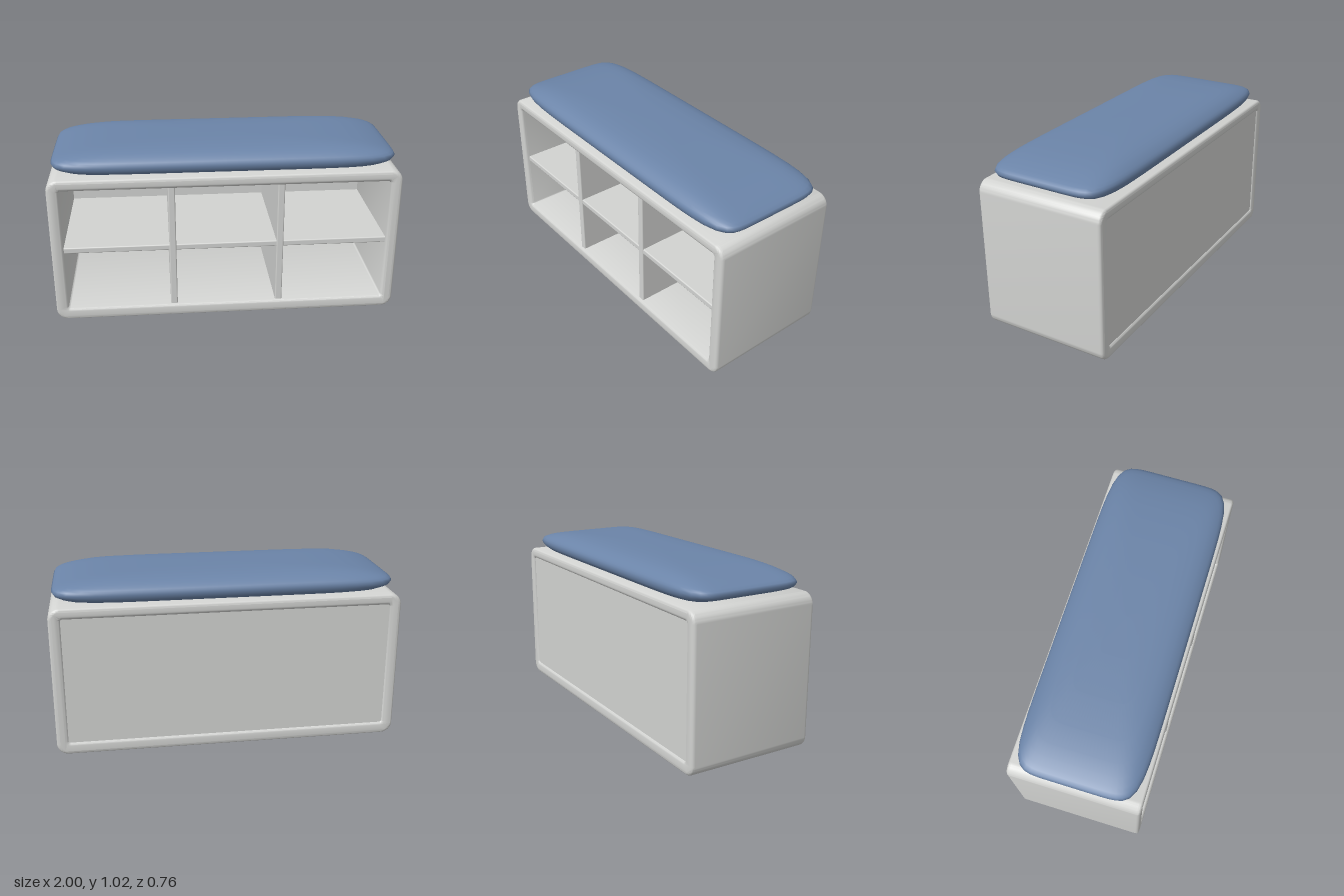
import * as THREE from 'three';
import { mergeVertices, toCreasedNormals } from 'three/addons/utils/BufferGeometryUtils.js';
import { RoundedBoxGeometry } from 'three/addons/geometries/RoundedBoxGeometry.js';

// Rounded rectangle traced into a Shape or Path
function roundedRect(path, x0, y0, x1, y1, r) {
  path.moveTo(x0 + r, y0);
  path.lineTo(x1 - r, y0);
  path.absarc(x1 - r, y0 + r, r, -Math.PI / 2, 0);
  path.lineTo(x1, y1 - r);
  path.absarc(x1 - r, y1 - r, r, 0, Math.PI / 2);
  path.lineTo(x0 + r, y1);
  path.absarc(x0 + r, y1 - r, r, Math.PI / 2, Math.PI);
  path.lineTo(x0, y0 + r);
  path.absarc(x0 + r, y0 + r, r, Math.PI, Math.PI * 1.5);
  path.closePath();
  return path;
}

// Open box frame with softened edges
function frameGeometry() {
  const b = 0.02, depth = 0.76;
  const shape = roundedRect(new THREE.Shape(), -1 + b, b, 1 - b, 0.88 - b, 0.045);
  shape.holes.push(roundedRect(new THREE.Path(), -0.93 - b, 0.075 - b, 0.93 + b, 0.815 + b, 0.03));
  const geo = new THREE.ExtrudeGeometry(shape, {
    depth: depth - 2 * b, bevelEnabled: true, bevelSize: b, bevelThickness: b,
    bevelSegments: 4, curveSegments: 6,
  });
  geo.translate(0, 0, -depth / 2 + b);
  return toCreasedNormals(geo, 0.6);
}

// Pillow: a lathe whose rings are remapped to a rounded rectangle
function cushionGeometry() {
  const profile = [
    [0, 0.88], [0.5, 0.88], [0.8, 0.88], [0.87, 0.883], [0.93, 0.892], [0.965, 0.904],
    [0.988, 0.916], [1, 0.935], [0.99, 0.95], [0.97, 0.961], [0.94, 0.971], [0.89, 0.983],
    [0.82, 0.996], [0.7, 1.008], [0.5, 1.016], [0.25, 1.018], [0, 1.018],
  ].map(([r, y]) => new THREE.Vector2(r, y));
  let geo = new THREE.LatheGeometry(profile, 96);
  const pos = geo.attributes.position;
  for (let i = 0; i < pos.count; i++) {
    const x = pos.getX(i), z = pos.getZ(i), r = Math.hypot(x, z);
    if (r < 1e-6) continue;
    const k = Math.pow(Math.pow(Math.abs(x / r), 8) + Math.pow(Math.abs(z / r), 8), -1 / 8);
    pos.setX(i, x * k * 0.98);
    pos.setZ(i, z * k * 0.36);
  }
  geo.deleteAttribute('normal');
  geo.deleteAttribute('uv');
  geo = mergeVertices(geo, 1e-5);
  geo.computeVertexNormals();
  return geo;
}

export function createModel() {
  const model = new THREE.Group();
  model.name = 'storageBench';

  const paint = new THREE.MeshStandardMaterial({ color: 0xd2d3d1 });
  paint.name = 'palePaint';
  const fabric = new THREE.MeshStandardMaterial({ color: 0x6b84a8 });
  fabric.name = 'blueFabric';

  const add = (name, geo, mat) => {
    const mesh = new THREE.Mesh(geo, mat);
    mesh.name = name;
    model.add(mesh);
    return mesh;
  };
  // Board given by its limits on each axis
  const board = (name, [x0, x1], [y0, y1], [z0, z1], r) =>
    add(name, new RoundedBoxGeometry(x1 - x0, y1 - y0, z1 - z0, 3, r), paint)
      .position.set((x0 + x1) / 2, (y0 + y1) / 2, (z0 + z1) / 2);

  add('frame', frameGeometry(), paint);
  board('backPanel', [-0.94, 0.94], [0.065, 0.825], [-0.37, -0.345], 0.003);

  // Two uprights divide the bench into three bays
  for (const s of [-1, 1]) {
    board(s > 0 ? 'leftDivider' : 'rightDivider',
      [s * 0.31 - 0.02, s * 0.31 + 0.02], [0.065, 0.825], [-0.36, 0.365], 0.007);
  }

  // One shelf in each bay
  [[-0.94, -0.32], [-0.3, 0.3], [0.32, 0.94]].forEach((span, i) =>
    board(['rightShelf', 'middleShelf', 'leftShelf'][i], span, [0.425, 0.46], [-0.36, 0.36], 0.007));

  add('seatCushion', cushionGeometry(), fabric);
  return model;
}
